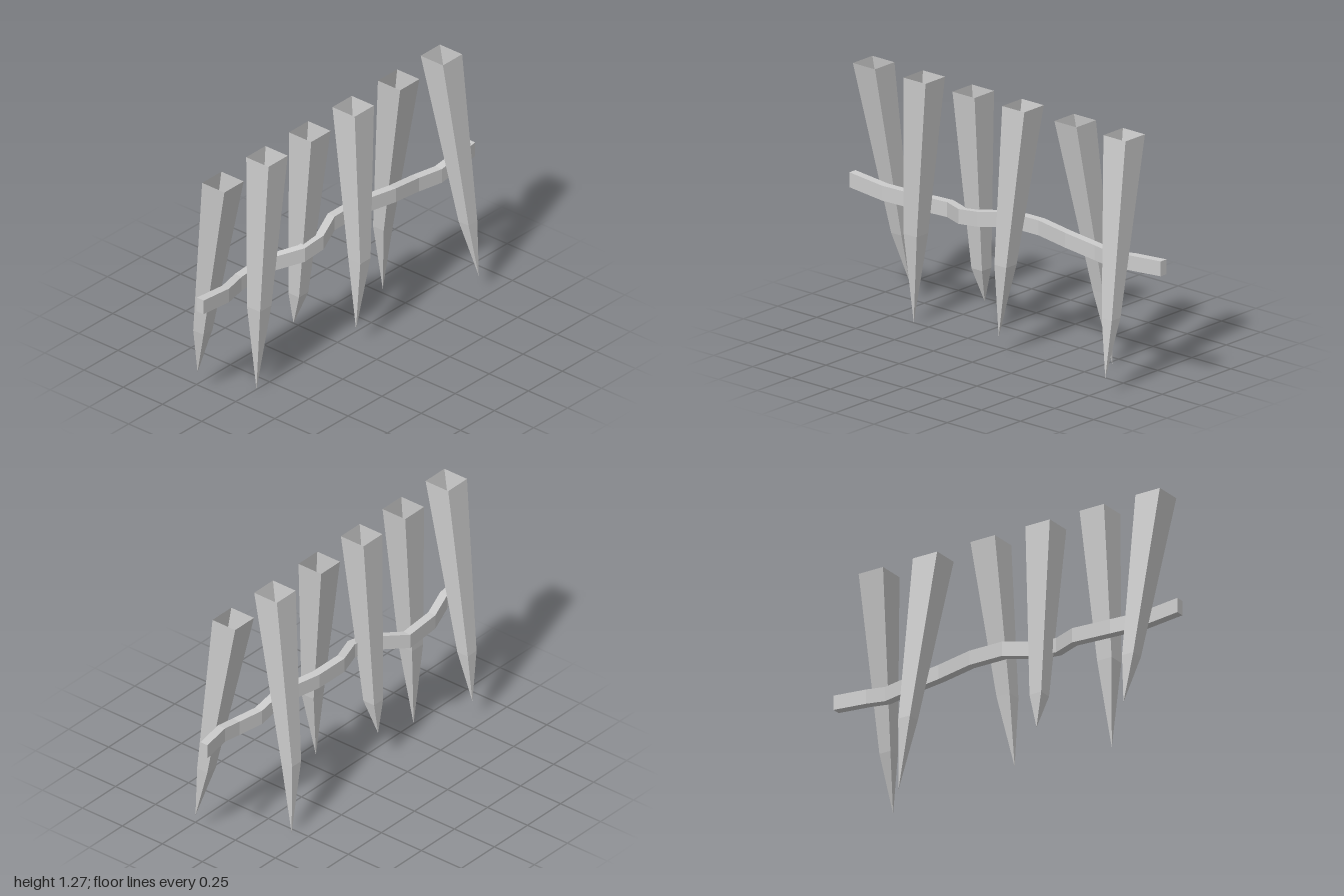
import * as THREE from 'three';

// Joins four-cornered rings into a faceted skin; corners run anticlockwise seen from the first ring's end.
function loft(rings, capped) {
  const pos = [];
  const tri = (a, b, c) => {
    if (b.every((v, k) => v === c[k])) return; // collapsed at a tip
    pos.push(...a, ...b, ...c);
  };
  for (let r = 0; r < rings.length - 1; r++) {
    const a = rings[r], b = rings[r + 1];
    for (let i = 0; i < 4; i++) {
      const j = (i + 1) % 4;
      tri(a[i], b[i], b[j]);
      tri(a[i], b[j], a[j]);
    }
  }
  if (capped) {
    const f = rings[0], e = rings[rings.length - 1];
    tri(f[0], f[1], f[2]);
    tri(f[0], f[2], f[3]);
    tri(e[0], e[2], e[1]);
    tri(e[0], e[3], e[2]);
  }
  const g = new THREE.BufferGeometry();
  g.setAttribute('position', new THREE.Float32BufferAttribute(pos, 3));
  g.computeVertexNormals();
  return g;
}

// Horizontal square ring
const flatRing = (x, y, z, h) => [[x - h, y, z + h], [x + h, y, z + h], [x + h, y, z - h], [x - h, y, z - h]];
// Upright rectangular ring facing z
const uprightRing = (x, y, z, w, h) => [[x - w, y - h, z], [x + w, y - h, z], [x + w, y + h, z], [x - w, y + h, z]];

export function createModel() {
  const group = new THREE.Group();
  const material = new THREE.MeshStandardMaterial({ color: 0xcccccc, flatShading: true, side: THREE.DoubleSide });
  const add = (name, geometry) => {
    const mesh = new THREE.Mesh(geometry, material);
    mesh.name = name;
    group.add(mesh);
  };

  // Hollow stakes, open at the top: top z, shoulder [x, y, z, half width], tip [x, y, z]
  const stakes = [
    [0.85, [-0.153, 0.38, 0.815, 0.033], [-0.2, 0.12, 0.8]],
    [0.525, [0.003, 0.47, 0.58, 0.042], [0, 0.01, 0.597]],
    [0.21, [-0.062, 0.36, 0.217, 0.034], [-0.09, 0.18, 0.22]],
    [-0.11, [0.083, 0.48, -0.066, 0.038], [0.092, 0.105, -0.03]],
    [-0.445, [-0.138, 0.39, -0.495, 0.034], [-0.17, 0.01, -0.53]],
    [-0.76, [0.142, 0.39, -0.797, 0.032], [0.2, 0.1, -0.81]],
  ];
  stakes.forEach(([topZ, shoulder, tip], i) => {
    add('stake' + (i + 1), loft([flatRing(0.005, 1.28, topZ, 0.071), flatRing(...shoulder), flatRing(...tip, 0)]));
  });

  // Rail weaving between the stakes: [x, y, z] along its centre
  const path = [
    [-0.01, 0.65, 1], [-0.02, 0.625, 0.8], [-0.07, 0.605, 0.65], [-0.088, 0.605, 0.44],
    [0.012, 0.633, 0.28], [0.02, 0.65, 0.15], [-0.04, 0.667, 0], [-0.04, 0.668, -0.19],
    [0.005, 0.665, -0.4], [-0.005, 0.64, -0.58], [0.02, 0.637, -0.72], [0.02, 0.652, -0.83], [-0.01, 0.652, -1],
  ];
  add('rail', loft(path.map((p) => uprightRing(...p, 0.022, 0.038)), true));

  return group;
}
